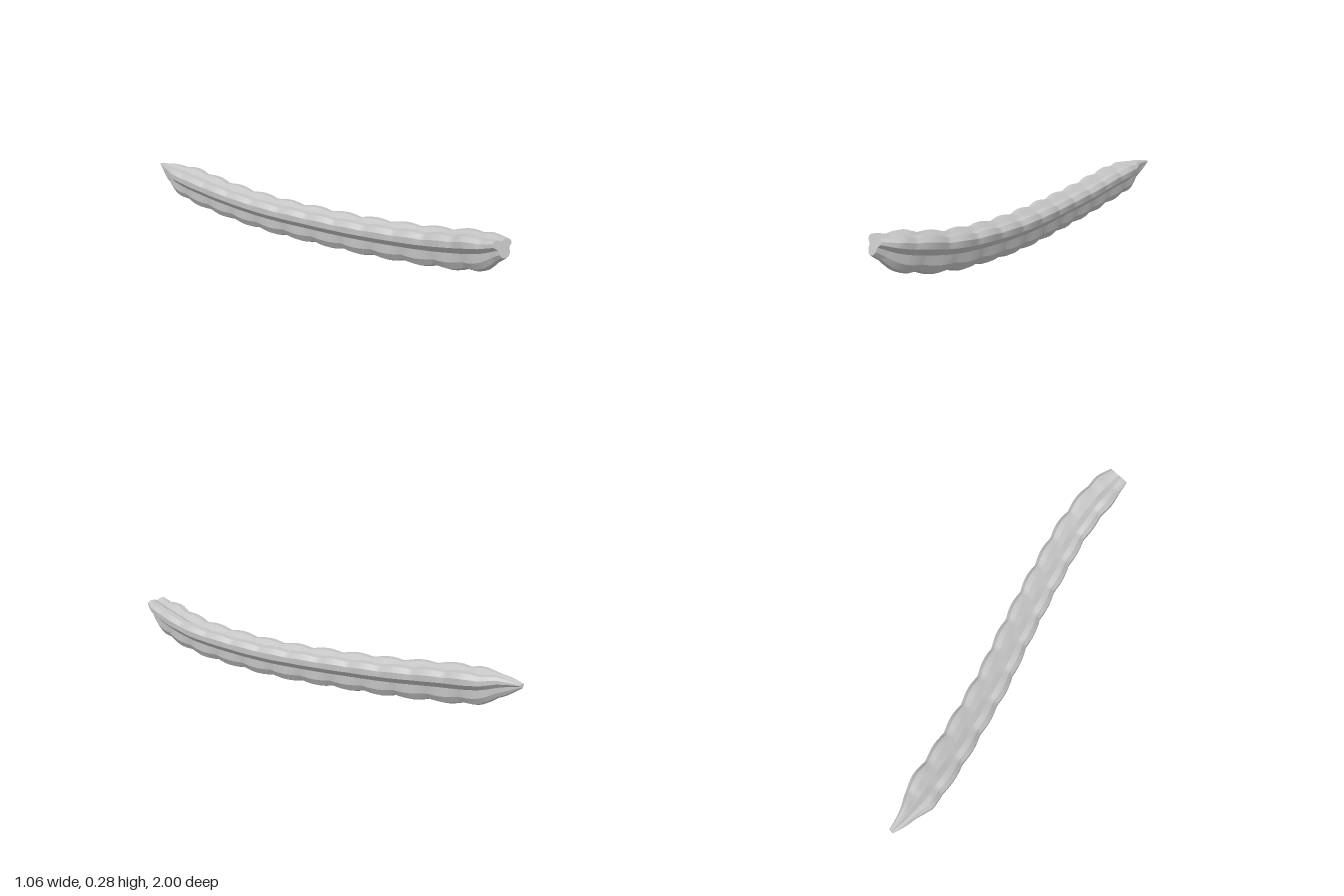
import * as THREE from 'three';

const RINGS = 156, RIPPLES = 13;

// Centre line of the pod, from the pointed tip to the blunt end
const path = new THREE.CatmullRomCurve3([
  [-0.51, 0.242, -0.998], [-0.485, 0.216, -0.9], [-0.44, 0.187, -0.8], [-0.345, 0.155, -0.6],
  [-0.235, 0.128, -0.4], [-0.12, 0.112, -0.2], [0.01, 0.105, 0], [0.135, 0.104, 0.2],
  [0.25, 0.115, 0.4], [0.36, 0.137, 0.61], [0.428, 0.176, 0.8], [0.452, 0.205, 0.9], [0.468, 0.24, 0.982],
].map(p => new THREE.Vector3(...p)));

// Right half of the three-lobed section, bottom to top: [x, y, ripple share]
const half = [[0, -0.1, 1], [0.03, -0.086, 1], [0.05, -0.052, 0.8], [0.052, -0.008, 0], [0.084, 0.025, 0.8],
  [0.085, 0.055, 1], [0.065, 0.078, 1], [0.035, 0.08, 0.8], [0, 0.06, 0]];
const mirrored = half.slice(1, -1).reverse().map(([x, y, share]) => [-x, y, share]);
const section = [...half, ...mirrored];
const SIDES = section.length;

// Taper along the length: [position, scale]
const widthScale = [[0, 0.16], [0.05, 0.52], [0.085, 0.92], [0.12, 1], [0.93, 1], [0.965, 0.92], [1, 0.68]];
const heightScale = [[0, 0.1], [0.05, 0.6], [0.1, 0.92], [0.14, 1], [0.92, 1], [0.955, 0.85], [1, 0.47]];

function taper(table, t) {
  const k = Math.max(1, table.findIndex(entry => entry[0] >= t));
  const [t0, s0] = table[k - 1], [t1, s1] = table[k];
  return THREE.MathUtils.lerp(s0, s1, (t - t0) / (t1 - t0));
}

// Each lobe swells in its own rhythm
function lobePhase(x, y) {
  if (y < 0) return 0.25;
  return x > 0 ? -0.1 : 0.4;
}

function surfacePoint(i, j) {
  const t = i / RINGS;
  const [x, y, share] = section[j % SIDES];
  const tangent = path.getTangentAt(t);
  const side = new THREE.Vector3(0, 1, 0).cross(tangent).normalize();
  const up = tangent.clone().cross(side);
  const wave = Math.abs(Math.sin(Math.PI * (RIPPLES * t + lobePhase(x, y))));
  const swell = 1 + share * 0.13 * (wave - 0.65);
  return path.getPointAt(t)
    .addScaledVector(side, x * swell * taper(widthScale, t))
    .addScaledVector(up, y * swell * taper(heightScale, t));
}

// Lengthwise strips: smooth along the pod, sharp between neighbours
function bodyGeometry() {
  const positions = [], index = [];
  for (let j = 0; j < SIDES; j++) {
    const base = positions.length / 3;
    for (let i = 0; i <= RINGS; i++) {
      positions.push(...surfacePoint(i, j).toArray(), ...surfacePoint(i, j + 1).toArray());
      if (i === RINGS) continue;
      const a = base + i * 2;
      index.push(a, a + 1, a + 2, a + 1, a + 3, a + 2);
    }
  }
  const geometry = new THREE.BufferGeometry();
  geometry.setAttribute('position', new THREE.Float32BufferAttribute(positions, 3));
  geometry.setIndex(index);
  geometry.computeVertexNormals();
  return geometry;
}

// Flat face closing one end
function capGeometry(ring) {
  const centre = path.getPointAt(ring / RINGS).toArray();
  const positions = [];
  for (let j = 0; j < SIDES; j++) {
    const pair = [surfacePoint(ring, j), surfacePoint(ring, j + 1)];
    if (ring === 0) pair.reverse();
    positions.push(...centre, ...pair[0].toArray(), ...pair[1].toArray());
  }
  const geometry = new THREE.BufferGeometry();
  geometry.setAttribute('position', new THREE.Float32BufferAttribute(positions, 3));
  geometry.computeVertexNormals();
  return geometry;
}

export function createModel() {
  const model = new THREE.Group();
  model.name = 'lobedPod';
  const grey = new THREE.MeshStandardMaterial({ color: 0xc4c4c4 });
  grey.name = 'plain grey';

  const add = (name, geometry) => {
    const mesh = new THREE.Mesh(geometry, grey);
    mesh.name = name;
    model.add(mesh);
  };
  add('podBody', bodyGeometry());
  add('pointedTip', capGeometry(0));
  add('bluntEnd', capGeometry(RINGS));

  // Stand the pod on the ground, centred
  const box = new THREE.Box3().setFromObject(model);
  const centre = box.getCenter(new THREE.Vector3());
  for (const mesh of model.children) mesh.geometry.translate(-centre.x, -box.min.y, -centre.z);
  return model;
}
